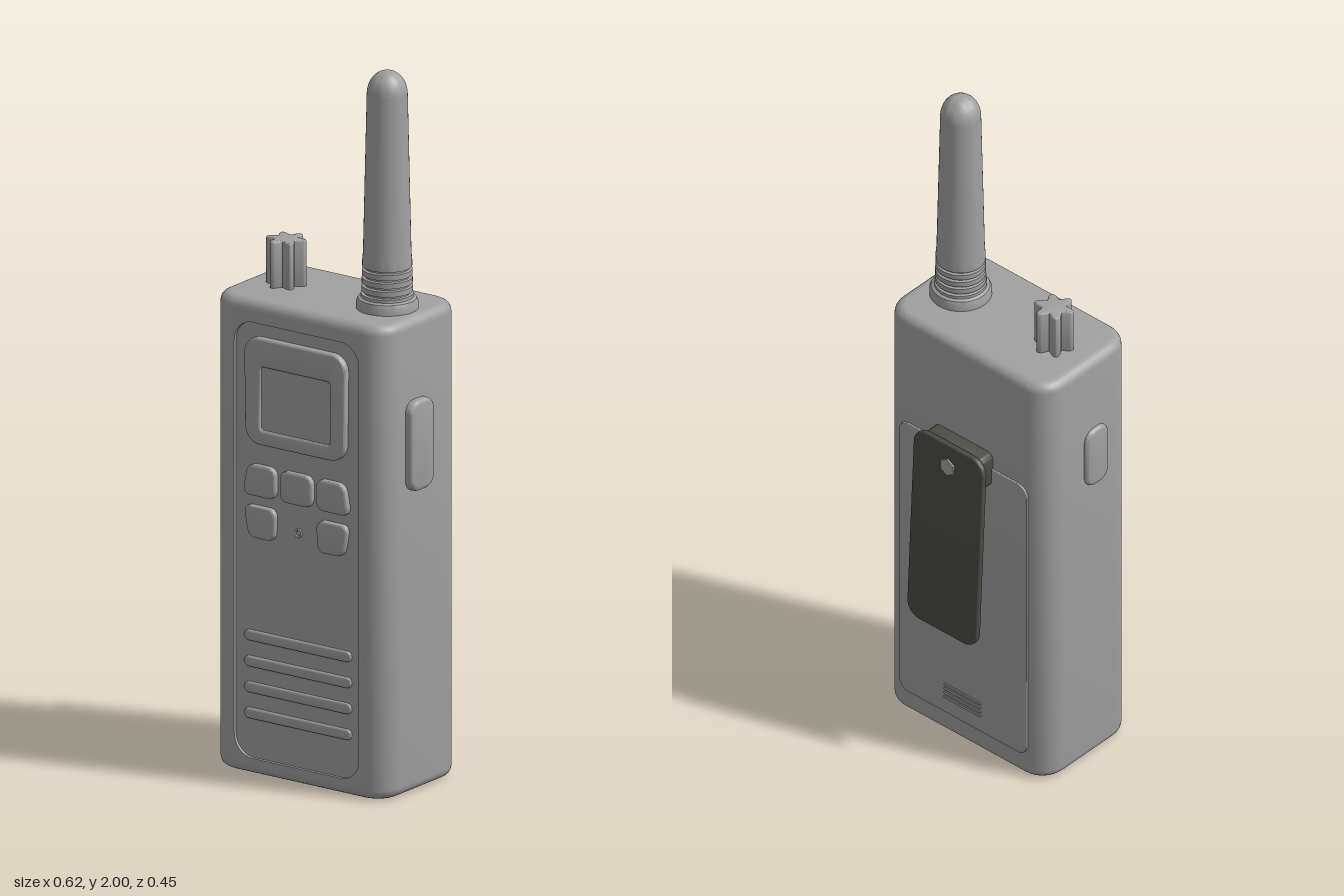
import * as THREE from 'three';
import { toCreasedNormals } from 'three/addons/utils/BufferGeometryUtils.js';

const shell = new THREE.MeshStandardMaterial({ name: 'grey plastic', color: 0xa0a0a0 });
const dark = new THREE.MeshStandardMaterial({ name: 'dark clip', color: 0x4b4b45 });

// Polygon outline with every corner rounded by r
function rounded(points, r, ShapeType = THREE.Shape) {
  const s = new ShapeType();
  const n = points.length;
  points.forEach((p, i) => {
    const c = new THREE.Vector2(...p);
    const toward = q => {
      const d = new THREE.Vector2(...q).sub(c);
      return d.setLength(Math.min(r, d.length() * 0.49)).add(c);
    };
    const a = toward(points[(i + n - 1) % n]), b = toward(points[(i + 1) % n]);
    if (i === 0) s.moveTo(a.x, a.y); else s.lineTo(a.x, a.y);
    // control points close to a circular arc
    s.bezierCurveTo(a.x + (c.x - a.x) * 0.55, a.y + (c.y - a.y) * 0.55,
      b.x + (c.x - b.x) * 0.55, b.y + (c.y - b.y) * 0.55, b.x, b.y);
  });
  s.closePath();
  return s;
}
const rect = (x0, x1, y0, y1) => [[x0, y0], [x1, y0], [x1, y1], [x0, y1]];

// Solid of the given outline reaching from z0 to z1, with rounded rims
function solid(shape, z0, z1, bevel = 0, segments = 3) {
  const g = new THREE.ExtrudeGeometry(shape, {
    depth: z1 - z0 - 2 * bevel, bevelEnabled: bevel > 0, bevelSize: bevel,
    bevelThickness: bevel, bevelOffset: -bevel, bevelSegments: segments, curveSegments: 8,
  });
  g.translate(0, 0, z0 + bevel);
  return toCreasedNormals(g, 0.6);
}

// Drops the flat front face so a recessed front can take its place
function openFront(geometry, z) {
  const src = geometry.attributes.position, keep = [];
  for (let i = 0; i < src.count; i += 3) {
    if ([0, 1, 2].every(k => src.getZ(i + k) > z - 1e-4)) continue;
    for (let k = 0; k < 3; k++) keep.push(src.getX(i + k), src.getY(i + k), src.getZ(i + k));
  }
  const g = new THREE.BufferGeometry();
  g.setAttribute('position', new THREE.Float32BufferAttribute(keep, 3));
  return toCreasedNormals(g, 0.6);
}

export function createModel() {
  const group = new THREE.Group();
  const add = (name, geometry, material = shell, parent = group) => {
    const m = new THREE.Mesh(geometry, material);
    m.name = name;
    parent.add(m);
    return m;
  };
  const X0 = -0.297, X1 = 0.285, CX = -0.0065, FRONT = 0.218, BACK = -0.136, TOP = 1.335;
  const FLOOR = 0.209;

  // Body: plan outline raised along y
  const plan = solid(rounded(rect(X0, X1, -FRONT, -BACK), 0.075), 0.003, TOP, 0.028, 5);
  plan.rotateX(-Math.PI / 2);
  add('body', openFront(plan, FRONT));

  // Front frame around the recessed panel
  const frame = new THREE.Shape();
  rect(X0 + 0.075, X1 - 0.075, 0.031, TOP - 0.028).forEach(([x, y], i) => i ? frame.lineTo(x, y) : frame.moveTo(x, y));
  frame.closePath();
  const panelOutline = rect(-0.214, 0.201, 0.05, 1.275);
  frame.holes.push(rounded(panelOutline, 0.06, THREE.Path));
  add('frontFrame', solid(frame, FLOOR - 0.002, FRONT));
  add('frontPanel', solid(rounded(rect(-0.218, 0.205, 0.045, 1.28), 0.06), 0.19, FLOOR));

  // Display bezel with sunken screen
  const bezel = rounded([[-0.172, 0.938], [0.158, 0.938], [0.162, 1.238], [-0.176, 1.238]], 0.048);
  bezel.holes.push(rounded(rect(-0.122, 0.109, 0.98, 1.158), 0.008, THREE.Path));
  add('displayBezel', solid(bezel, 0.2, 0.228, 0.006));
  add('screen', solid(rounded(rect(-0.13, 0.117, 0.972, 1.166), 0.008), 0.2, 0.22));

  // Keypad
  const key = (name, pts) => add(name, solid(rounded(pts, 0.024), 0.2, 0.225, 0.006));
  key('middleKey', rect(-0.06, 0.047, 0.79, 0.878));
  for (const [side, label] of [[-1, 'right'], [1, 'left']]) {
    const at = pts => {
      const out = pts.map(([x, y]) => [CX + side * x, y]);
      return side < 0 ? out.reverse() : out;
    };
    key(label + 'UpperKey', at([[0.068, 0.79], [0.177, 0.79], [0.161, 0.878], [0.068, 0.878]]));
    key(label + 'LowerKey', at([[0.072, 0.672], [0.158, 0.672], [0.174, 0.762], [0.068, 0.762]]));
  }
  const mic = new THREE.TorusGeometry(0.01, 0.003, 8, 20);
  mic.translate(CX, 0.708, FLOOR);
  add('microphone', mic);

  // Speaker grille
  for (let i = 0; i < 4; i++) {
    const y = 0.174 + i * 0.073;
    add('speakerBar', solid(rounded(rect(-0.184, 0.172, y - 0.015, y + 0.015), 0.0145), 0.2, 0.217, 0.005));
  }

  // Side buttons, outlined in z and y
  const sideButton = (name, z0, z1, y0, y1, reach, side) => {
    const pts = rect(side > 0 ? -z1 : z0, side > 0 ? -z0 : z1, y0, y1);
    const g = solid(rounded(pts, 0.035), 0.26, reach, 0.01);
    add(name, g.rotateY(side * Math.PI / 2));
  };
  sideButton('leftButton', 0.018, 0.122, 0.855, 1.108, 0.308, 1);
  sideButton('rightButton', 0.022, 0.11, 0.922, 1.108, 0.309, -1);

  // Six-lobed knob
  const lobes = [];
  for (let i = 0; i < 96; i++) {
    const a = i / 96 * Math.PI * 2;
    const r = 0.045 + 0.0115 * Math.cos(6 * (a - 1.36));
    lobes.push(new THREE.Vector2(r * Math.cos(a), r * Math.sin(a)));
  }
  const knob = add('knob', solid(new THREE.Shape(lobes), 0, 0.14, 0.004).rotateX(-Math.PI / 2));
  knob.position.set(-0.171, 1.325, 0.042);

  // Antenna: flange, ribbed collar, tapering shaft and domed tip
  const profile = [[0, 1.325], [0.084, 1.325], [0.084, 1.352], [0.079, 1.363], [0.071, 1.367], [0.071, 1.376]];
  for (let i = 0; i < 4; i++) {
    const y = 1.376 + i * 0.023, r = 0.069 - i * 0.0006;
    profile.push([r - 0.007, y + 0.001], [r - 0.007, y + 0.006], [r, y + 0.007], [r, y + 0.022]);
  }
  profile.push([0.065, 1.49], [0.055, 1.935]);
  for (let i = 1; i <= 8; i++) {
    const a = i / 8 * Math.PI / 2;
    profile.push([i === 8 ? 0 : 0.055 * Math.cos(a), 1.935 + 0.065 * Math.sin(a)]);
  }
  const antenna = new THREE.LatheGeometry(profile.map(p => new THREE.Vector2(...p)), 40);
  add('antenna', toCreasedNormals(antenna, 0.6)).position.set(0.167, 0, 0.044);

  // Back parts are outlined as seen from behind, then turned round
  const back = new THREE.Group();
  back.name = 'backParts';
  back.rotation.y = Math.PI;
  group.add(back);
  add('batteryCover', solid(rounded(rect(-0.224, 0.236, 0.075, 0.985), 0.035), 0.12, 0.141, 0.003), shell, back);
  for (let i = 0; i < 4; i++) {
    const y = 0.125 + i * 0.014;
    add('coverRib', solid(rounded(rect(-0.06, 0.072, y, y + 0.008), 0.003), 0.135, 0.1435), shell, back);
  }

  // Belt clip
  add('clipMount', solid(rounded(rect(-0.099, 0.11, 0.925, 1.035), 0.02), 0.13, 0.182, 0.006), dark, back);
  const clip = new THREE.Group();
  clip.name = 'beltClip';
  clip.position.set(0.0055, 1.043, 0.18);
  clip.rotation.x = -0.049;
  back.add(clip);
  add('clipPlate', solid(rounded(rect(-0.125, 0.125, -0.613, 0), 0.045), 0, 0.017, 0.004), dark, clip);
  const screw = new THREE.CylinderGeometry(0.026, 0.028, 0.006, 6);
  screw.rotateX(Math.PI / 2).translate(0, -0.07, 0.018);
  add('clipScrew', toCreasedNormals(screw, 0.5), shell, clip);

  return group;
}
